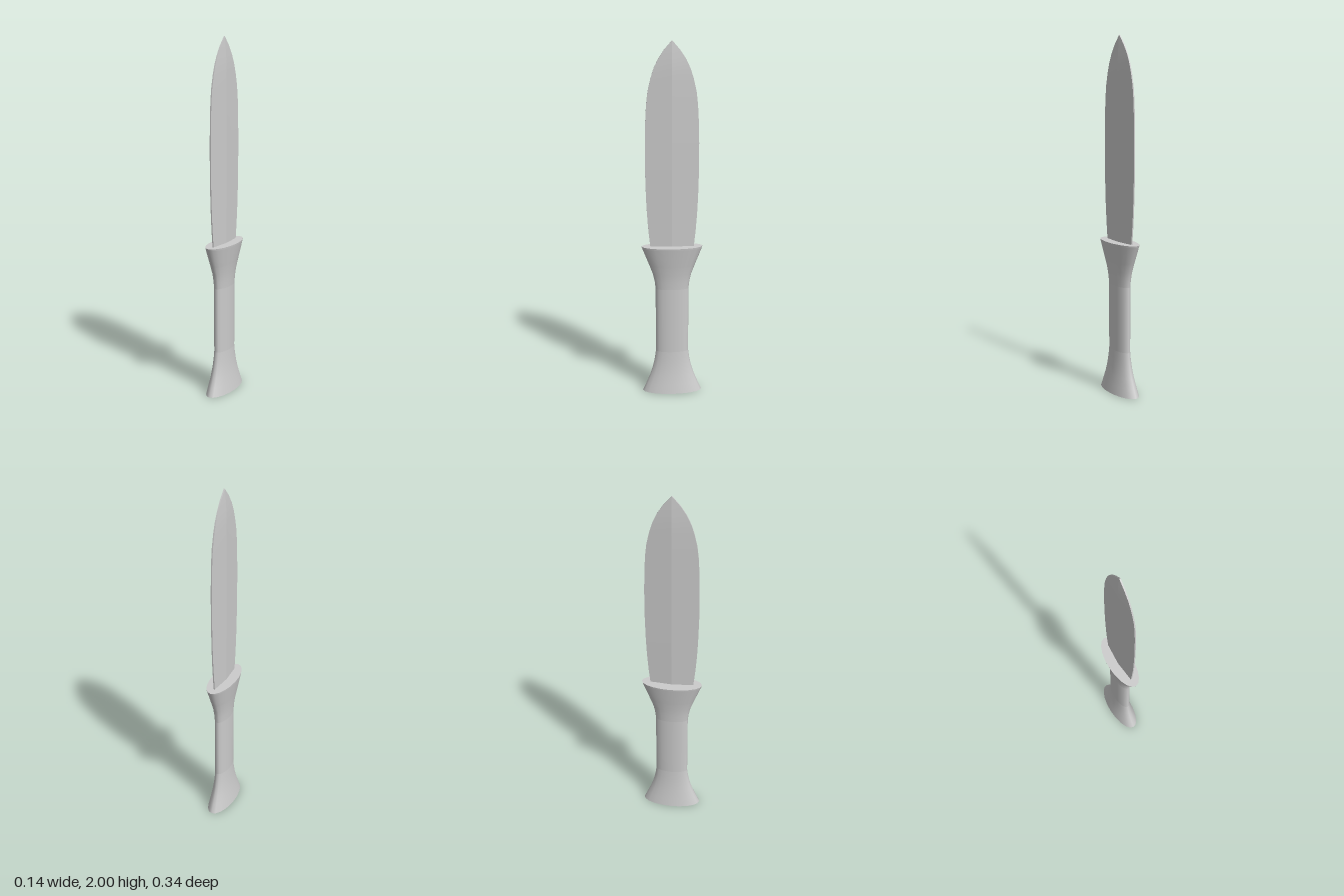
import * as THREE from 'three';

const SIDES = 20;
const FLATTEN = 0.41; // handle thickness relative to its width

export function createModel() {
  const model = new THREE.Group();
  model.name = 'dagger';
  const material = new THREE.MeshStandardMaterial({ color: 0xcccccc });

  function add(name, geometry) {
    const mesh = new THREE.Mesh(geometry, material);
    mesh.name = name;
    model.add(mesh);
  }

  // Oval turned section from [radius, height] pairs, bottom to top
  function oval(name, profile) {
    const points = profile.map(([r, y]) => new THREE.Vector2(r, y));
    add(name, new THREE.LatheGeometry(points, SIDES).scale(FLATTEN, 1, 1));
  }

  // Handle: flared pommel, straight grip, flare under the collar
  oval('pommelBase', [[0, 0], [0.169, 0]]);
  oval('pommel', [[0.169, 0], [0.147, 0.05], [0.126, 0.1], [0.11, 0.15], [0.099, 0.2], [0.093, 0.245]]);
  oval('grip', [[0.093, 0.245], [0.093, 0.62]]);
  oval('gripFlare', [[0.093, 0.62], [0.098, 0.66], [0.108, 0.705], [0.126, 0.753]]);

  // Collar with a thin rim and flat top
  oval('collar', [[0.126, 0.753], [0.168, 0.858]]);
  oval('collarRim', [[0.168, 0.858], [0.171, 0.868]]);
  oval('collarTop', [[0.171, 0.868], [0, 0.868]]);

  add('blade', bladeGeometry());
  return model;
}

// Leaf-shaped blade: diamond section with narrow flat edges
function bladeGeometry() {
  const edge = 0.0035;
  // [height, half width, half thickness at the ridge]
  const stations = [
    [0.85, 0.12, 0.014], [0.95, 0.131, 0.014], [1.05, 0.139, 0.014], [1.15, 0.144, 0.014],
    [1.3, 0.148, 0.014], [1.45, 0.148, 0.014], [1.57, 0.145, 0.014], [1.66, 0.14, 0.014],
    [1.73, 0.132, 0.014], [1.8, 0.116, 0.014], [1.85, 0.1, 0.0135], [1.9, 0.077, 0.011],
    [1.95, 0.044, 0.0075], [2, 0, 0.0035],
  ];
  const positions = [];
  const indices = [];
  // Each of the six strips has its own vertices, so the ridges stay sharp
  for (let k = 0; k < 6; k++) {
    const start = positions.length / 3;
    stations.forEach(([y, w, t], i) => {
      const ring = [[t, 0], [edge, w], [-edge, w], [-t, 0], [-edge, -w], [edge, -w]];
      const [x0, z0] = ring[k];
      const [x1, z1] = ring[(k + 1) % 6];
      positions.push(x0, y, z0, x1, y, z1);
      if (i > 0) {
        const a = start + 2 * (i - 1);
        indices.push(a + 1, a, a + 2, a + 1, a + 2, a + 3);
      }
    });
  }
  const geometry = new THREE.BufferGeometry();
  geometry.setAttribute('position', new THREE.Float32BufferAttribute(positions, 3));
  geometry.setIndex(indices);
  geometry.computeVertexNormals();
  return geometry;
}
